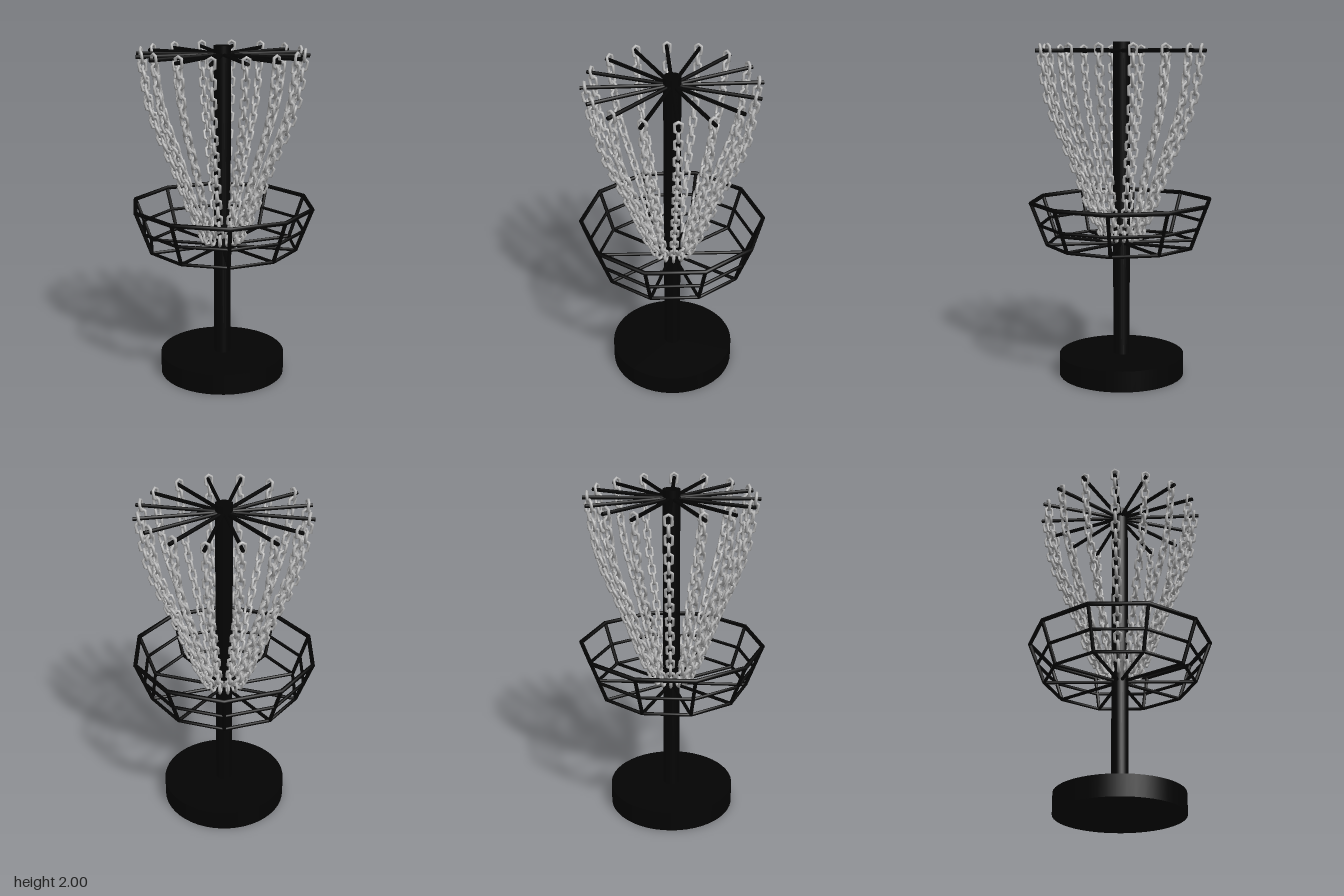
import * as THREE from 'three';
import { mergeGeometries } from 'three/addons/utils/BufferGeometryUtils.js';

const black = new THREE.MeshStandardMaterial({ color: 0x030303 });
black.name = 'black paint';
const steel = new THREE.MeshStandardMaterial({ color: 0xb8b8b8 });
steel.name = 'chain steel';

const V = (x, y, z = 0) => new THREE.Vector3(x, y, z);

function add(parent, name, geometry, material = black) {
  const mesh = new THREE.Mesh(geometry, material);
  mesh.name = name;
  parent.add(mesh);
  return mesh;
}

// Straight round bar between two points
function bar(a, b, radius) {
  const d = b.clone().sub(a);
  const g = new THREE.CylinderGeometry(radius, radius, d.length(), 8);
  g.applyQuaternion(new THREE.Quaternion().setFromUnitVectors(V(0, 1), d.normalize()));
  return g.translate((a.x + b.x) / 2, (a.y + b.y) / 2, (a.z + b.z) / 2);
}

// Six-cornered ring stretched along y
function linkGeometry() {
  const g = new THREE.TorusGeometry(0.0225, 0.009, 8, 6).rotateZ(Math.PI / 6);
  const p = g.attributes.position;
  for (let i = 0; i < p.count; i++) p.setY(i, p.getY(i) + Math.sign(p.getY(i)) * 0.011);
  return g;
}

// One hanging chain in the xy plane; every second link is turned a quarter
function chainGeometry() {
  const curve = new THREE.CatmullRomCurve3([
    V(0.472, 1.948), V(0.459, 1.84), V(0.434, 1.68), V(0.388, 1.53),
    V(0.316, 1.36), V(0.25, 1.19), V(0.18, 1.0), V(0.115, 0.865),
  ]);
  const count = 22, link = linkGeometry(), parts = [];
  for (let i = 0; i < count; i++) {
    const t = i / (count - 1);
    const up = curve.getTangentAt(t).negate();
    const side = V(0, 0, 1);
    const out = up.clone().cross(side);
    const m = i % 2 === 0
      ? new THREE.Matrix4().makeBasis(side, up, out.clone().negate())
      : new THREE.Matrix4().makeBasis(out, up, side);
    m.setPosition(curve.getPointAt(t));
    parts.push(link.clone().applyMatrix4(m));
  }
  return mergeGeometries(parts);
}

export function createModel() {
  const model = new THREE.Group();
  model.name = 'chain basket target';

  // Base and pole
  add(model, 'base', new THREE.CylinderGeometry(0.378, 0.378, 0.125, 48)).position.y = 0.0625;
  add(model, 'pole', new THREE.CylinderGeometry(0.05, 0.05, 1.9, 32)).position.y = 1.05;

  // Ten-sided catching basket: three hoops, slanted ribs and floor spokes
  const basket = new THREE.Group();
  basket.name = 'basket';
  model.add(basket);
  const hoops = [
    ['topHoop', 0.542, 1.06, 0.013],
    ['middleHoop', 0.492, 0.927, 0.01],
    ['bottomHoop', 0.447, 0.808, 0.01],
  ];
  for (const [name, radius, y, thick] of hoops) {
    add(basket, name, new THREE.TorusGeometry(radius, thick, 8, 10).rotateX(Math.PI / 2)).position.y = y;
  }
  const rib = bar(V(0.447, 0.808), V(0.542, 1.06), 0.011);
  const spoke = bar(V(0.03, 0.808), V(0.447, 0.808), 0.01);
  for (let i = 0; i < 10; i++) {
    const angle = (i * Math.PI) / 5;
    add(basket, 'rib', rib).rotation.y = angle;
    add(basket, 'floorSpoke', spoke).rotation.y = angle;
  }

  // Sixteen top arms, each with a chain curving in to the pole
  const arm = bar(V(0.02, 1.948), V(0.502, 1.948), 0.011);
  const chain = chainGeometry();
  for (let i = 0; i < 16; i++) {
    const hanger = new THREE.Group();
    hanger.name = 'hanger';
    hanger.rotation.y = THREE.MathUtils.degToRad(6.4 + i * 22.5);
    add(hanger, 'arm', arm);
    add(hanger, 'chain', chain, steel);
    model.add(hanger);
  }
  return model;
}
